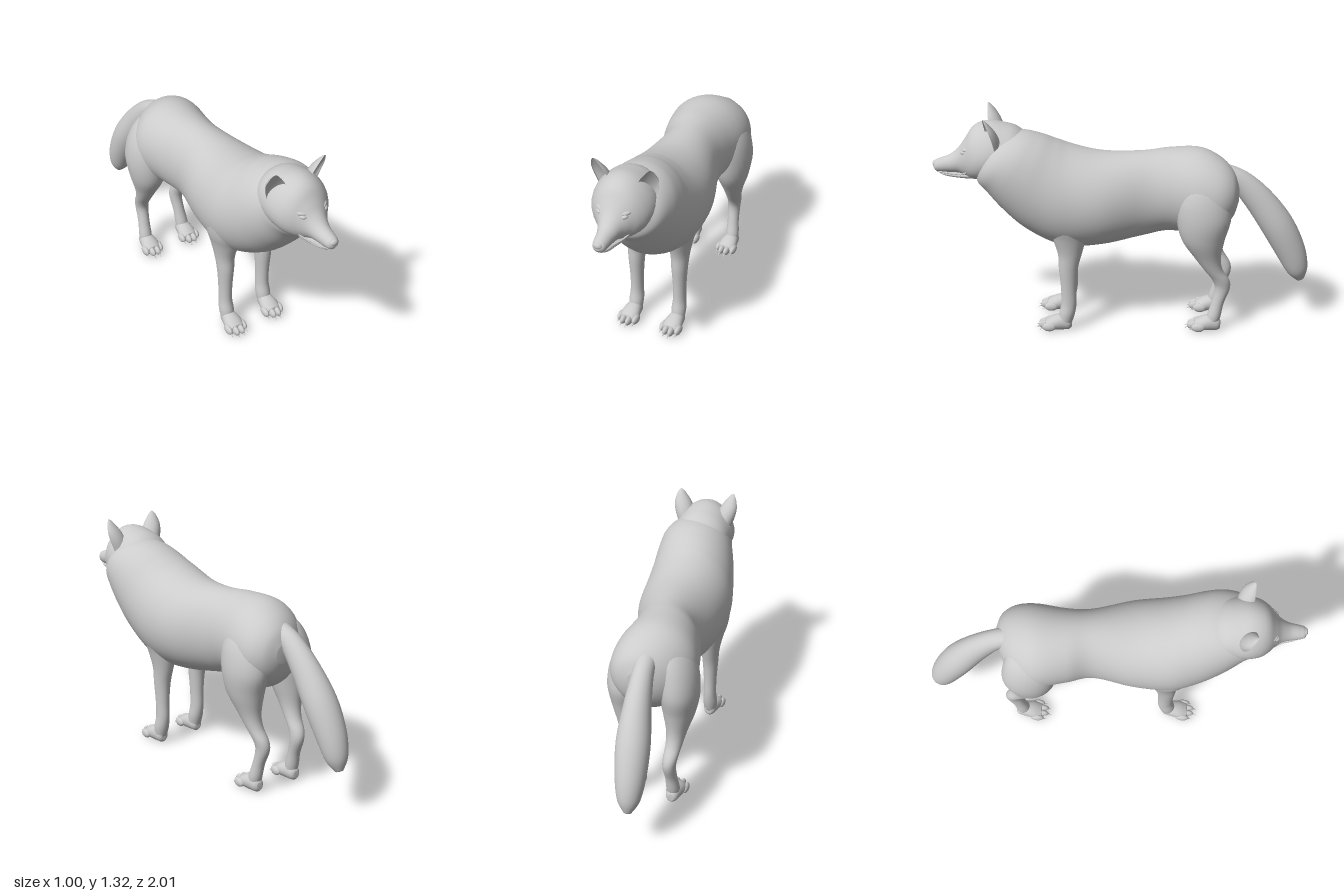
import * as THREE from 'three';

const fur = new THREE.MeshStandardMaterial({ color: 0xcccccc, roughness: 0.8, side: THREE.DoubleSide });
const rad = THREE.MathUtils.degToRad;
const YAW = 24; // the animal stands turned from the z axis

function add(parent, name, geometry) {
  const mesh = new THREE.Mesh(geometry, fur);
  mesh.name = name;
  parent.add(mesh);
  return mesh;
}

function catmull(a, b, c, d, t) {
  return 0.5 * (2 * b + (c - a) * t + (2 * a - 5 * b + 4 * c - d) * t * t + (3 * b - a - 3 * c + d) * t * t * t);
}

// Smooth skin over oval sections [x, y, z, halfWidth, halfHeight, yaw, tilt, egg].
// tilt 0 faces forward, 90 down, -90 up; egg widens the top; cup squashes the lower half.
function loft(sections, { sides = 32, steps = 6, cup = 1 } = {}) {
  const rows = [], last = sections.length - 1;
  const full = sections.map(s => [...s, 0, 0, 0].slice(0, 8));
  for (let i = 0; i <= last * steps; i++) {
    const k = Math.min(Math.floor(i / steps), last - 1), t = i / steps - k;
    const p = [k - 1, k, k + 1, k + 2].map(n => full[Math.max(0, Math.min(last, n))]);
    rows.push(p[0].map((_, c) => catmull(p[0][c], p[1][c], p[2][c], p[3][c], t)));
  }
  const pos = [], index = [];
  for (const [x, y, z, w, h, yaw, tilt, egg] of rows) {
    const sy = Math.sin(rad(yaw)), cy = Math.cos(rad(yaw)), st = Math.sin(rad(tilt)), ct = Math.cos(rad(tilt));
    for (let j = 0; j < sides; j++) {
      const a = (j / sides) * Math.PI * 2, s = Math.sin(a);
      const u = w * Math.cos(a) * (1 + egg * s), v = h * (s < 0 ? s * cup : s);
      pos.push(x + u * cy + v * st * sy, y + v * ct, z - u * sy + v * st * cy);
    }
  }
  for (let i = 0; i < rows.length - 1; i++) {
    for (let j = 0; j < sides; j++) {
      const a = i * sides + j, b = i * sides + (j + 1) % sides;
      index.push(a, b, a + sides, b, b + sides, a + sides);
    }
  }
  // End caps
  const end = (rows.length - 1) * sides, c0 = pos.length / 3;
  pos.push(...rows[0].slice(0, 3), ...rows[rows.length - 1].slice(0, 3));
  for (let j = 0; j < sides; j++) {
    const n = (j + 1) % sides;
    index.push(c0, n, j, c0 + 1, end + j, end + n);
  }
  const g = new THREE.BufferGeometry();
  g.setAttribute('position', new THREE.Float32BufferAttribute(pos, 3));
  g.setIndex(index);
  g.computeVertexNormals();
  return g;
}

function ball(parent, name, [x, y, z], [rx, ry, rz]) {
  const mesh = add(parent, name, new THREE.SphereGeometry(1, 20, 14));
  mesh.position.set(x, y, z);
  mesh.scale.set(rx, ry, rz);
  return mesh;
}

function turnedGroup(name, x, z) {
  const g = new THREE.Group();
  g.name = name;
  g.position.set(x, 0, z);
  g.rotation.y = rad(YAW);
  return g;
}

// Paw with four toes and claws
function makePaw(x, z) {
  const paw = new THREE.Group();
  paw.name = 'paw';
  paw.position.set(x, 0, z);
  paw.rotation.y = -0.08;
  add(paw, 'pawPad', loft([
    [0, 0.045, -0.045, 0.018, 0.022], [0, 0.048, -0.03, 0.034, 0.04], [0, 0.054, 0.01, 0.046, 0.05],
    [0, 0.047, 0.065, 0.055, 0.043], [0, 0.037, 0.11, 0.046, 0.028]], { sides: 20 }));
  for (const tx of [-0.049, -0.017, 0.017, 0.049]) {
    const tz = Math.abs(tx) > 0.03 ? 0.085 : 0.112;
    ball(paw, 'toe', [tx, 0.036, tz], [0.0175, 0.027, 0.04]);
    const claw = add(paw, 'claw', new THREE.ConeGeometry(0.007, 0.035, 8));
    claw.position.set(tx, 0.024, tz + 0.043);
    claw.rotation.x = rad(115);
  }
  return paw;
}

// Leg from sections [outward, y, forward, halfWidth, halfDepth]; side is +1 left, -1 right
function makeLeg(name, x, z, side, profile, ankle) {
  const leg = turnedGroup(name, x, z);
  add(leg, 'limb', loft(profile.map(([out, y, f, w, h]) => [out * side, y, f, w, h, 0, 90]), { sides: 28 }));
  leg.add(makePaw(ankle[0] * side, ankle[1]));
  return leg;
}

function makeHead() {
  const head = turnedGroup('head', 0.31, 0.68);
  // Skull running into the muzzle
  add(head, 'skull', loft([
    [0, 1.07, -0.22, 0.1, 0.1], [0, 1.085, -0.14, 0.155, 0.145], [0, 1.095, -0.06, 0.175, 0.16, 0, 0, -0.1],
    [0, 1.1, 0.01, 0.177, 0.166, 0, 0, -0.15], [0, 1.09, 0.07, 0.163, 0.165, 0, 0, -0.15],
    [0, 1.075, 0.115, 0.137, 0.15, 0, 0, -0.1], [0, 1.05, 0.155, 0.1, 0.115], [0, 1.03, 0.195, 0.069, 0.078],
    [0, 1.01, 0.245, 0.051, 0.054], [0, 1.0, 0.3, 0.042, 0.042], [0, 0.997, 0.33, 0.034, 0.033],
    [0, 0.997, 0.345, 0.014, 0.014]]));
  add(head, 'lowerJaw', loft([
    [0, 0.958, 0.06, 0.085, 0.035], [0, 0.95, 0.15, 0.066, 0.026], [0, 0.947, 0.22, 0.047, 0.018],
    [0, 0.952, 0.28, 0.034, 0.014], [0, 0.956, 0.31, 0.012, 0.007]], { sides: 24 }));
  ball(head, 'nose', [0, 1.008, 0.333], [0.025, 0.02, 0.017]);
  for (const s of [1, -1]) {
    // Eye with a lid above it
    const eye = ball(head, 'eye', [s * 0.071, 1.098, 0.16], [0.021, 0.012, 0.017]);
    const lid = ball(head, 'brow', [s * 0.071, 1.113, 0.148], [0.034, 0.014, 0.018]);
    eye.rotation.set(0, s * 0.6, s * 0.15);
    lid.rotation.set(0, s * 0.6, s * 0.2);
    // Lip line rising at the corner
    const lip = new THREE.CatmullRomCurve3([[0.016, 0.964, 0.322], [0.033, 0.962, 0.28], [0.044, 0.958, 0.22],
      [0.064, 0.963, 0.175], [0.085, 0.98, 0.145]].map(([x, y, z]) => new THREE.Vector3(s * x, y, z)));
    add(head, 'lip', new THREE.TubeGeometry(lip, 20, 0.005, 8));
    // Cupped ear, open to the front
    add(head, 'ear', loft([
      [s * 0.12, 1.14, -0.01, 0.05, 0.055, s * 20, -90], [s * 0.132, 1.2, 0.003, 0.058, 0.056, s * 20, -90],
      [s * 0.146, 1.25, 0.015, 0.051, 0.046, s * 20, -90], [s * 0.157, 1.295, 0.026, 0.029, 0.025, s * 20, -90],
      [s * 0.161, 1.318, 0.032, 0.012, 0.009, s * 20, -90], [s * 0.162, 1.325, 0.034, 0.002, 0.002, s * 20, -90],
    ], { sides: 24, cup: -0.45 }));
  }
  return head;
}

export function createModel() {
  const wolf = new THREE.Group();
  wolf.name = 'wolf';

  // Trunk from rump to throat
  add(wolf, 'body', loft([
    [-0.22, 0.85, -0.635, 0.04, 0.05, YAW], [-0.217, 0.845, -0.6, 0.13, 0.14, YAW], [-0.208, 0.84, -0.52, 0.205, 0.215, YAW],
    [-0.182, 0.845, -0.4, 0.235, 0.255, YAW], [-0.117, 0.85, -0.24, 0.208, 0.247, YAW], [-0.04, 0.83, -0.11, 0.19, 0.255, YAW],
    [0.06, 0.805, 0.1, 0.245, 0.278, YAW], [0.137, 0.82, 0.29, 0.262, 0.303, YAW, -4],
    [0.202, 0.885, 0.42, 0.25, 0.282, YAW, -18], [0.258, 0.97, 0.52, 0.233, 0.248, YAW, -29],
    [0.302, 1.035, 0.6, 0.21, 0.21, YAW, -33], [0.333, 1.06, 0.68, 0.178, 0.165, YAW, -28],
    [0.355, 1.07, 0.745, 0.1, 0.09, YAW, -20]], { sides: 48 }));

  wolf.add(makeHead());

  const foreProfile = [
    [-0.06, 0.96, 0.03, 0.06, 0.06], [-0.02, 0.88, 0.02, 0.105, 0.11], [-0.005, 0.79, 0.01, 0.115, 0.132],
    [-0.002, 0.69, 0.0, 0.105, 0.128], [0, 0.6, -0.008, 0.077, 0.1], [0, 0.5, -0.01, 0.056, 0.071],
    [0, 0.4, 0, 0.047, 0.056], [0, 0.28, 0, 0.039, 0.046], [0, 0.18, 0, 0.038, 0.045],
    [0, 0.11, 0.012, 0.043, 0.047], [0, 0.05, 0.025, 0.038, 0.042]];
  const hindProfile = [
    [-0.1, 1.03, 0.02, 0.03, 0.05], [-0.058, 0.96, 0.02, 0.09, 0.125], [-0.022, 0.86, 0.012, 0.11, 0.155],
    [-0.006, 0.73, 0, 0.114, 0.158], [-0.005, 0.6, 0, 0.095, 0.125], [-0.012, 0.48, -0.03, 0.062, 0.076],
    [-0.02, 0.4, -0.065, 0.048, 0.054], [-0.03, 0.33, -0.11, 0.042, 0.05], [-0.035, 0.27, -0.12, 0.038, 0.045],
    [-0.03, 0.18, -0.095, 0.035, 0.037], [-0.025, 0.1, -0.075, 0.039, 0.041], [-0.025, 0.05, -0.065, 0.035, 0.037]];
  wolf.add(
    makeLeg('frontLeftLeg', 0.25, 0.235, 1, foreProfile, [0, 0.03]),
    makeLeg('frontRightLeg', 0.005, 0.348, -1, foreProfile, [0, 0.03]),
    makeLeg('backLeftLeg', -0.047, -0.49, 1, hindProfile, [-0.025, -0.07]),
    makeLeg('backRightLeg', -0.34, -0.38, -1, hindProfile, [-0.025, -0.07]));

  // Bushy hanging tail
  add(wolf, 'tail', loft([
    [-0.225, 0.97, -0.52, 0.055, 0.05, YAW, 150], [-0.27, 0.91, -0.62, 0.06, 0.066, YAW, 138],
    [-0.32, 0.79, -0.725, 0.076, 0.085, YAW, 126], [-0.372, 0.63, -0.825, 0.094, 0.096, YAW, 122],
    [-0.412, 0.47, -0.9, 0.086, 0.088, YAW, 118], [-0.433, 0.345, -0.945, 0.063, 0.065, YAW, 115],
    [-0.442, 0.275, -0.965, 0.022, 0.024, YAW, 112]]));

  return wolf;
}
